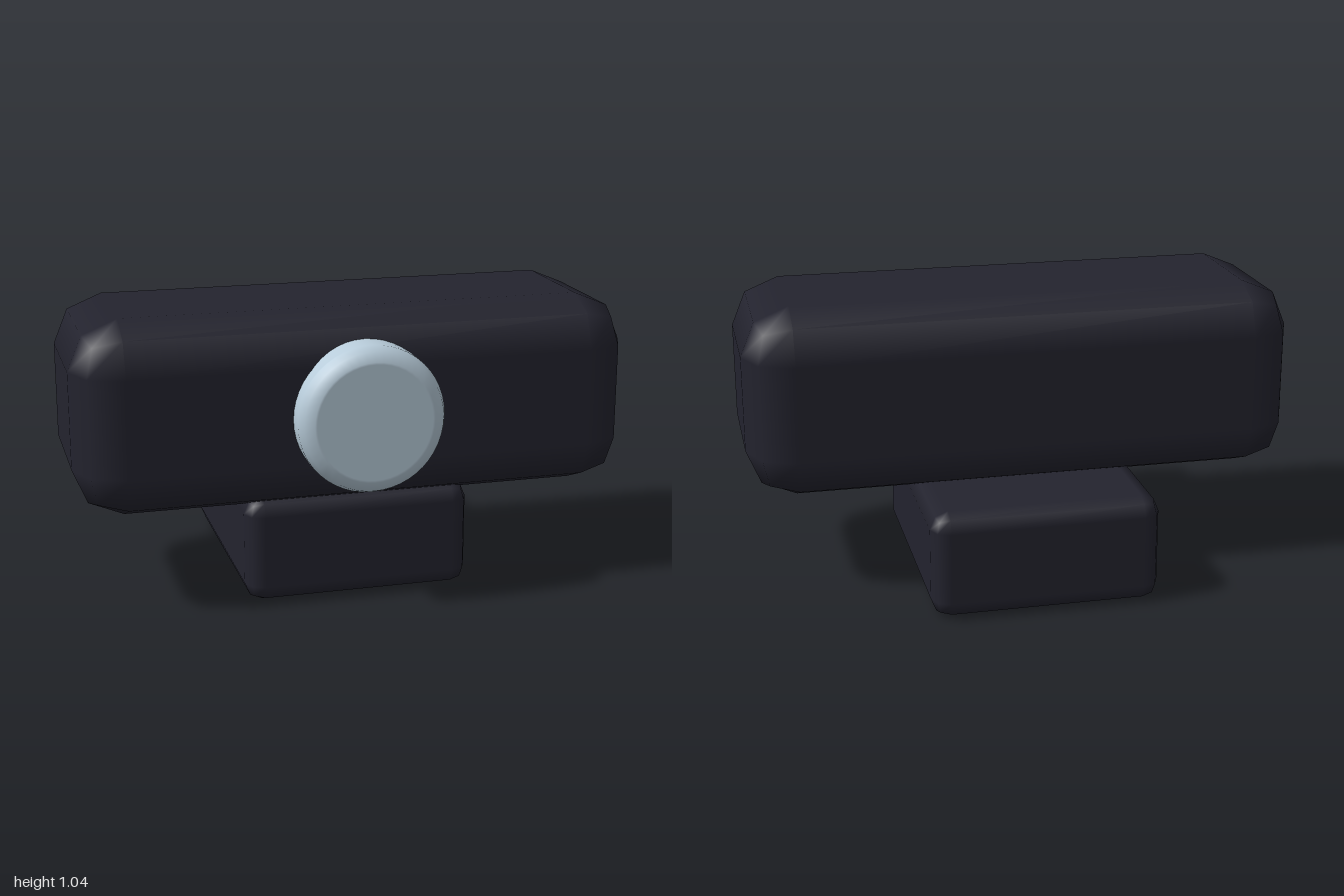
import * as THREE from 'three';
import { RoundedBoxGeometry } from 'three/addons/geometries/RoundedBoxGeometry.js';

export function createModel() {
  const group = new THREE.Group();
  const darkShell = new THREE.MeshStandardMaterial({ color: 0x23232e });
  darkShell.name = 'darkShell';
  const paleGlass = new THREE.MeshStandardMaterial({ color: 0xb8ccda });
  paleGlass.name = 'paleGlass';

  const add = (name, geometry, material, x, y, z) => {
    const mesh = new THREE.Mesh(geometry, material);
    mesh.name = name;
    mesh.position.set(x, y, z);
    group.add(mesh);
    return mesh;
  };

  // Wide housing and the foot under it, with two-facet rounded edges
  add('housing', new RoundedBoxGeometry(2, 0.695, 0.78, 1, 0.175), darkShell, 0, 0.6975, 0.08);
  add('foot', new RoundedBoxGeometry(0.82, 0.39, 0.98, 1, 0.065), darkShell, 0, 0.195, -0.09);

  // Round lens: a disc with a bevelled front rim
  const profile = [
    [0, 0], [0.26, 0], [0.26, 0.01], [0.26, 0.175], [0.26, 0.183],
    [0.246, 0.216], [0.212, 0.23], [0.204, 0.23], [0, 0.23],
  ].map(([r, h]) => new THREE.Vector2(r, h));
  const lens = add('lens', new THREE.LatheGeometry(profile, 48), paleGlass, 0, 0.697, 0.35);
  lens.rotation.x = Math.PI / 2;

  return group;
}
